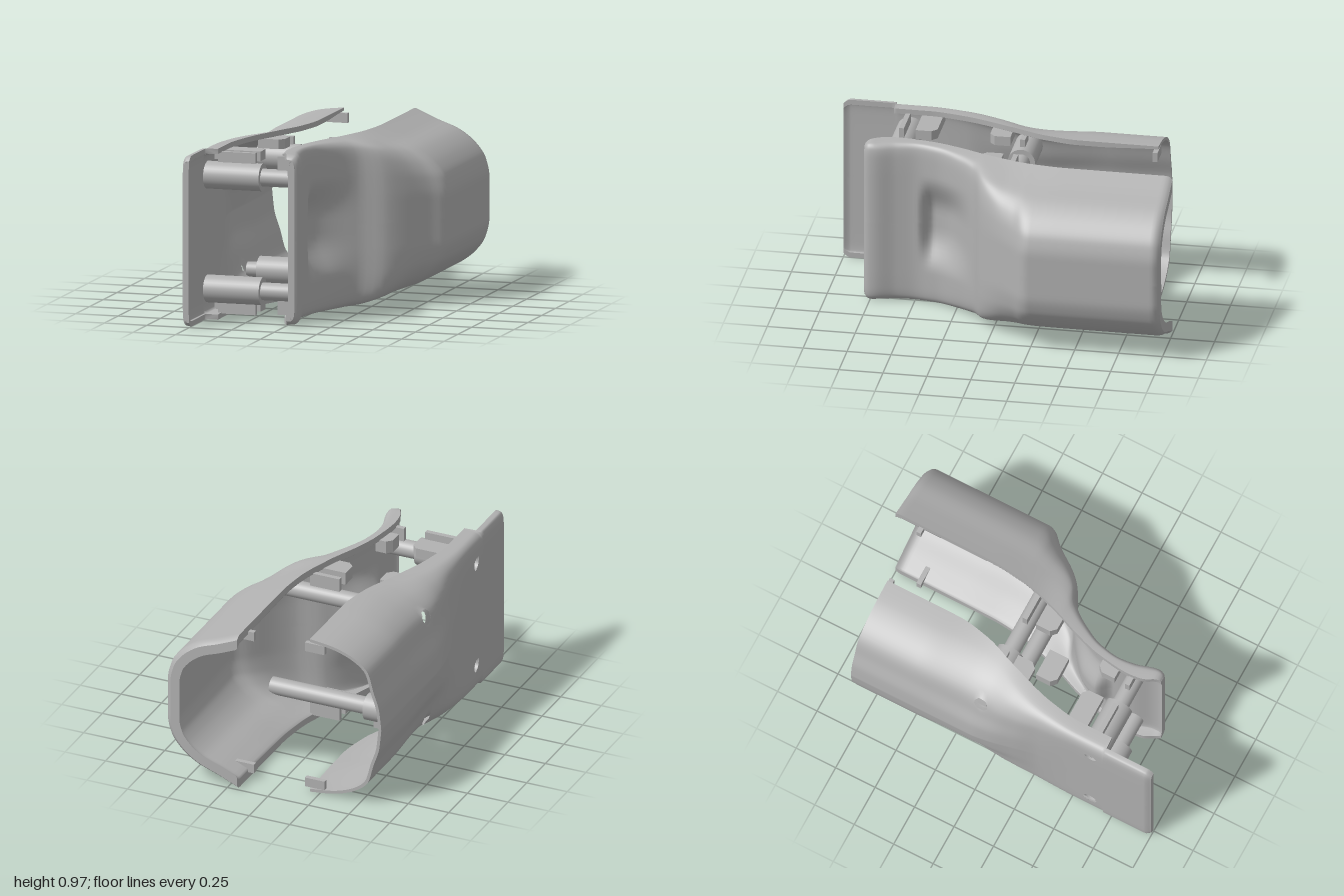
import * as THREE from 'three';

const MID = 0.485; // half of the height, also the mirror plane
const HOLE = 0.043; // screw hole radius
const grey = new THREE.MeshStandardMaterial({ color: 0xb2b2b2, side: THREE.DoubleSide });
grey.name = 'plain grey';

// smooth interpolation through a list of [position, value]
function curve(points, z) {
  const n = points.length;
  if (z <= points[0][0]) return points[0][1];
  if (z >= points[n - 1][0]) return points[n - 1][1];
  let i = 0;
  while (z > points[i + 1][0]) i++;
  const slope = (k) => {
    const a = points[Math.max(k - 1, 0)], b = points[k], c = points[Math.min(k + 1, n - 1)];
    const d0 = (b[1] - a[1]) / (b[0] - a[0] || 1), d1 = (c[1] - b[1]) / (c[0] - b[0] || 1);
    return d0 * d1 <= 0 ? 0 : (2 * d0 * d1) / (d0 + d1);
  };
  const [x0, y0] = points[i], [x1, y1] = points[i + 1];
  const w = x1 - x0, t = (z - x0) / w, t2 = t * t, t3 = t2 * t;
  return y0 * (2 * t3 - 3 * t2 + 1) + slope(i) * w * (t3 - 2 * t2 + t)
    + y1 * (3 * t2 - 2 * t3) + slope(i + 1) * w * (t3 - t2);
}

// half cross-sections from the middle to the rim: [depth fraction, height fraction]
const BOX = [[1, 0], [1, 0.3], [1, 0.6], [0.98, 0.82], [0.9, 0.93], [0.6, 0.99], [0, 1]];
const RIGHT_ROUND = [[1, 0], [1, 0.25], [0.95, 0.46], [0.82, 0.63], [0.59, 0.785], [0.3, 0.885], [0, 1]];
const LEFT_ROUND = [[1, 0], [0.97, 0.25], [0.89, 0.48], [0.81, 0.72], [0.57, 0.89], [0.28, 0.97], [0, 1]];

// vertex grid; skip(i, j) leaves a cell out
function grid(rows, cols, point, skip) {
  const pos = [], index = [];
  for (let i = 0; i <= rows; i++) for (let j = 0; j <= cols; j++) pos.push(...point(i, j));
  for (let i = 0; i < rows; i++) for (let j = 0; j < cols; j++) {
    if (skip && skip(i, j)) continue;
    const a = i * (cols + 1) + j, b = a + cols + 1;
    index.push(a, a + 1, b, b, a + 1, b + 1);
  }
  const g = new THREE.BufferGeometry();
  g.setAttribute('position', new THREE.Float32BufferAttribute(pos, 3));
  g.setIndex(index);
  g.computeVertexNormals();
  return g;
}

function add(group, name, geometry, x = 0, y = 0, z = 0) {
  const mesh = new THREE.Mesh(geometry, grey);
  mesh.name = name;
  mesh.position.set(x, y, z);
  group.add(mesh);
}

// open shell with wall thickness, lofted along z
function shell(name, s) {
  const group = new THREE.Group();
  group.name = name;
  const cols = 64, rows = s.zs.length - 1;
  const outerPts = [], innerPts = [], cut = [];
  for (const z of s.zs) {
    const rim = curve(s.rim, z), out = curve(s.outer, z), box = curve(s.box, z);
    const half = curve(s.half, z), wall = curve(s.wall, z);
    const profile = s.round.map(([v, h], k) => [v + (BOX[k][0] - v) * box, h + (BOX[k][1] - h) * box]);
    const depths = profile.map((p, k) => [k, p[0]]), heights = profile.map((p, k) => [k, p[1]]);
    const at = (u) => {
      const t = Math.abs(u) * 6;
      return [rim + curve(depths, t) * (out - rim), MID + Math.sign(u) * curve(heights, t) * half];
    };
    const o = [], inn = [], c = [];
    for (let j = 0; j <= cols; j++) {
      const u = (2 * j) / cols - 1, p = at(u), a = at(Math.max(u - 0.02, -1)), b = at(Math.min(u + 0.02, 1));
      const tx = b[0] - a[0], ty = b[1] - a[1], k = (s.side * wall) / (Math.hypot(tx, ty) || 1);
      let ix = s.side > 0 ? Math.max(p[0] - ty * k, rim) : Math.min(p[0] - ty * k, rim);
      if (j === 0 || j === cols) ix = rim;
      const push = s.dent ? s.dent(p[1], z) : 0;
      // open the round screw holes by pushing nearby vertices onto a circle
      let dy = 0, dz = 0, inside = false;
      for (const [hz, hy] of s.holes) {
        const y0 = p[1] - hy, z0 = z - hz, d = Math.hypot(y0, z0) || 1e-6;
        if (d < HOLE) {
          inside = true;
          dy = y0 * (HOLE / d - 1);
          dz = z0 * (HOLE / d - 1);
        }
      }
      c.push(inside);
      o.push([p[0] + push, p[1] + dy, z + dz]);
      inn.push([ix + push, p[1] + tx * k + dy, z + dz]);
    }
    outerPts.push(o); innerPts.push(inn); cut.push(c);
  }
  // outside and inside run in opposite directions so both face outwards
  const surface = (pts, reversed) => grid(rows, cols, (i, j) => pts[i][reversed ? cols - j : j], (i, j) => {
    const a = reversed ? cols - 1 - j : j;
    return cut[i][a] && cut[i + 1][a] && cut[i][a + 1] && cut[i + 1][a + 1];
  });
  add(group, name + ' outside', surface(outerPts, s.side > 0));
  add(group, name + ' inside', surface(innerPts, s.side < 0));
  for (const j of [0, cols])
    add(group, name + ' rim', grid(rows, 1, (i, k) => (k ? innerPts : outerPts)[i][j]));
  for (const i of [0, rows])
    add(group, name + ' end', grid(cols, 1, (j, k) => (k ? innerPts : outerPts)[i][j]));
  return group;
}

const range = (a, b, n) => Array.from({ length: n + 1 }, (_, i) => a + ((b - a) * i) / n);
const step = THREE.MathUtils.smoothstep;

// flat rib with one chamfered corner, drawn in x and z
function rib(x0, x1, z0, z1, thick) {
  const c = 0.03, dx = Math.sign(x1 - x0), dz = Math.sign(z1 - z0);
  const shape = new THREE.Shape([[x0, z0], [x1, z0], [x1, z1 - c * dz], [x1 - c * dx, z1], [x0, z1]]
    .map(([x, z]) => new THREE.Vector2(x, -z)));
  return new THREE.ExtrudeGeometry(shape, { depth: thick, bevelEnabled: false })
    .rotateX(-Math.PI / 2).translate(0, -thick / 2, 0);
}

function rod(r, x0, x1, open = false) {
  return new THREE.CylinderGeometry(r, r, x1 - x0, 32, 1, open).rotateZ(Math.PI / 2)
    .translate((x0 + x1) / 2, 0, 0);
}

function bar(x0, x1, height, depth) {
  return new THREE.BoxGeometry(x1 - x0, height, depth).translate((x0 + x1) / 2, 0, 0);
}

export function createModel() {
  const model = new THREE.Group();
  model.name = 'two part housing';
  const holes = [];
  for (const y of [0.162, 0.808]) holes.push([-0.07, y], [0.62, y]);

  // left cover: curved at the back, flat plate at the front
  model.add(shell('left cover', {
    side: -1, round: LEFT_ROUND, holes,
    zs: [...range(-0.85, 0.698, 100), ...range(0.702, 0.96, 10), 0.975, 0.99, 1],
    wall: [[-0.85, 0.018], [-0.5, 0.03], [1, 0.03]],
    rim: [[-0.85, -0.19], [-0.4, -0.192], [-0.2, -0.225], [0, -0.3], [0.3, -0.4], [0.5, -0.43], [0.698, -0.43], [0.702, -0.5], [1, -0.5]],
    outer: [[-0.85, -0.63], [-0.1, -0.63], [0, -0.62], [0.15, -0.59], [0.3, -0.56], [0.55, -0.547], [0.97, -0.548], [1, -0.535]],
    box: [[-0.5, 0], [-0.08, -0.28], [0.1, 0.1], [0.3, 0.65], [0.55, 1]],
    half: [[-0.85, 0.485], [0.96, 0.485], [0.985, 0.475], [1, 0.46]],
  }));

  // right cover: deep at the back, flared lip at the front, scooped finger rest
  model.add(shell('right cover', {
    side: 1, round: RIGHT_ROUND, holes: [],
    zs: [-1, -0.993, -0.98, ...range(-0.96, 0.74, 100), 0.755, 0.77, 0.777, 0.782],
    wall: [[-1, 0.055], [-0.6, 0.05], [-0.2, 0.04], [0.78, 0.04]],
    rim: [[-1, 0.19], [-0.4, 0.188], [-0.2, 0.17], [0.05, 0.1], [0.25, 0.02], [0.4, -0.025], [0.6, -0.05], [0.68, -0.042], [0.782, 0]],
    outer: [[-1, 0.6], [-0.985, 0.622], [-0.96, 0.63], [-0.25, 0.63], [-0.21, 0.615], [-0.15, 0.555], [0, 0.43], [0.07, 0.35], [0.13, 0.225], [0.25, 0.12], [0.38, 0.05], [0.5, 0.027], [0.6, 0.038], [0.73, 0.072], [0.765, 0.068], [0.782, 0.05]],
    box: [[-0.25, 0], [-0.1, 0.18], [0.05, 0.55], [0.2, 0.85], [0.5, 1]],
    half: [[-1, 0.465], [-0.985, 0.48], [-0.96, 0.485], [0.74, 0.485], [0.77, 0.475], [0.782, 0.46]],
    dent: (y, z) => -0.08 * step(z, 0.11, 0.31) * (1 - step(z, 0.4, 0.48))
      * (1 - step(Math.abs(y - 0.485), 0.06, 0.29)),
  }));

  // screw posts, pins, ribs and catches, mirrored top and bottom
  for (const m of [-1, 1]) {
    const Y = (y) => MID + m * (y - MID);
    for (const [z, postStart, boreStart, pinEnd] of [[-0.07, -0.43, -0.5, 0.4], [0.62, -0.52, -0.535, 0]]) {
      const y = Y(0.808);
      add(model, 'screw post', rod(0.078, postStart, -0.19, true), 0, y, z);
      add(model, 'screw bore', rod(HOLE, boreStart, -0.19, true), 0, y, z);
      add(model, 'post end', new THREE.RingGeometry(HOLE, 0.078, 32).rotateY(Math.PI / 2), -0.19, y, z);
      add(model, 'pin', rod(0.05, -0.195, pinEnd), 0, y, z);
    }
    add(model, 'post fin', bar(-0.34, -0.23, 0.05, 0.028), 0, Y(0.905), -0.07);
    add(model, 'post fin', bar(-0.45, -0.23, 0.065, 0.028), 0, Y(0.912), 0.62);
    add(model, 'pin fin', bar(-0.1, 0, 0.08, 0.028), 0, Y(0.895), 0.62);
    add(model, 'pin fin', bar(-0.02, 0.16, 0.08, 0.028), 0, Y(0.895), -0.07);
    add(model, 'left rib', rib(-0.38, -0.23, 0, 0.12, 0.055), 0, Y(0.912), 0);
    add(model, 'left rib', rib(-0.5, -0.23, 0.54, 0.42, 0.055), 0, Y(0.912), 0);
    add(model, 'right rib', rib(0.15, -0.02, 0, 0.12, 0.075), 0, Y(0.897), 0);
    add(model, 'right rib', rib(0, -0.1, 0.54, 0.43, 0.075), 0, Y(0.897), 0);
    add(model, 'left catch', bar(-0.28, -0.16, 0.055, 0.028), 0, Y(0.915), -0.836);
    add(model, 'right catch', bar(0.155, 0.275, 0.055, 0.028), 0, Y(0.905), -0.836);
  }
  return model;
}
